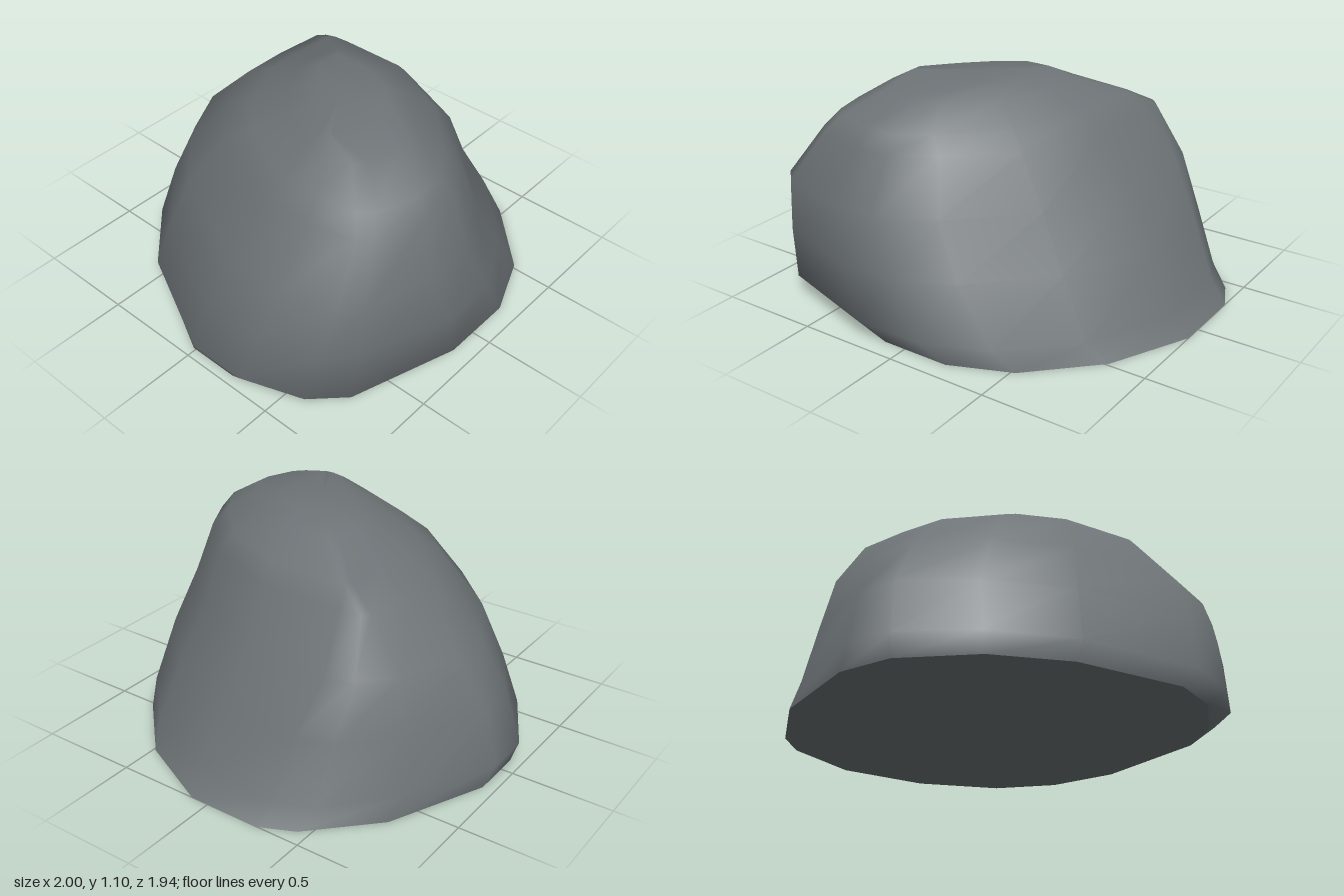
import * as THREE from 'three';

// Each level: height, then how far the rock reaches in eight directions,
// turning from +x through +z, -x and -z in steps of 45 degrees.
const LEVELS = [
  [0.00, 1.00, 0.92, 0.90, 0.96, 0.95, 0.85, 0.94, 0.97],
  [0.10, 0.91, 0.89, 0.955, 1.09, 1.00, 0.87, 0.97, 0.93],
  [0.37, 0.79, 0.77, 0.97, 1.10, 0.95, 0.78, 0.91, 0.865],
  [0.62, 0.65, 0.64, 0.92, 1.09, 0.865, 0.68, 0.77, 0.805],
  [0.87, 0.49, 0.55, 0.815, 0.92, 0.665, 0.49, 0.52, 0.67],
  [0.95, 0.41, 0.47, 0.76, 0.84, 0.60, 0.37, 0.37, 0.52],
  [1.05, 0.24, 0.34, 0.59, 0.64, 0.45, 0.20, 0.17, 0.25],
  [1.095, 0.12, 0.23, 0.33, 0.49, 0.37, 0.08, 0.07, 0.13],
];

// How much of each octagon corner is worn away, between one direction and the next
const WEAR = [0.31, 0.2, 0.4, 0.25, 0.36, 0.25, 0.37, 0.13];

// Octagon touching all eight reaches, with its corners worn off (16 points)
function crossSection([y, ...reach]) {
  const step = Math.PI / 4;
  const corners = reach.map((a, i) => {
    const b = reach[(i + 1) % 8];
    const t = (b - a * Math.cos(step)) / Math.sin(step);
    const c = Math.cos(i * step), s = Math.sin(i * step);
    return new THREE.Vector3(a * c - t * s, y, a * s + t * c);
  });
  return corners.flatMap((p, i) => [
    p.clone().lerp(corners[(i + 7) % 8], WEAR[i]),
    p.clone().lerp(corners[(i + 1) % 8], WEAR[i]),
  ]);
}

function centreOf(ring) {
  return ring.reduce((sum, p) => sum.add(p), new THREE.Vector3()).divideScalar(ring.length);
}

function surface(points, index) {
  const geometry = new THREE.BufferGeometry().setFromPoints(points);
  geometry.setIndex(index);
  geometry.computeVertexNormals();
  return geometry;
}

export function createModel() {
  const group = new THREE.Group();
  group.name = 'boulder';
  const stone = new THREE.MeshStandardMaterial({ color: 0x6e7477 });
  stone.name = 'grey stone';

  const rings = LEVELS.map(crossSection);
  const n = rings[0].length;

  // Smooth sides and crown
  const points = [...rings.flat(), centreOf(rings.at(-1))];
  const index = [];
  const last = (rings.length - 1) * n;
  for (let i = 0; i < n; i++) {
    const j = (i + 1) % n;
    for (let k = 0; k < last; k += n) {
      index.push(k + i, k + n + i, k + j, k + j, k + n + i, k + n + j);
    }
    index.push(points.length - 1, last + j, last + i);
  }
  const body = new THREE.Mesh(surface(points, index), stone);
  body.name = 'rockBody';

  // Flat underside, separate so its rim stays sharp
  const baseIndex = [];
  for (let i = 0; i < n; i++) baseIndex.push(n, i, (i + 1) % n);
  const base = new THREE.Mesh(surface([...rings[0], centreOf(rings[0])], baseIndex), stone);
  base.name = 'flatBase';

  group.add(body, base);
  return group;
}
